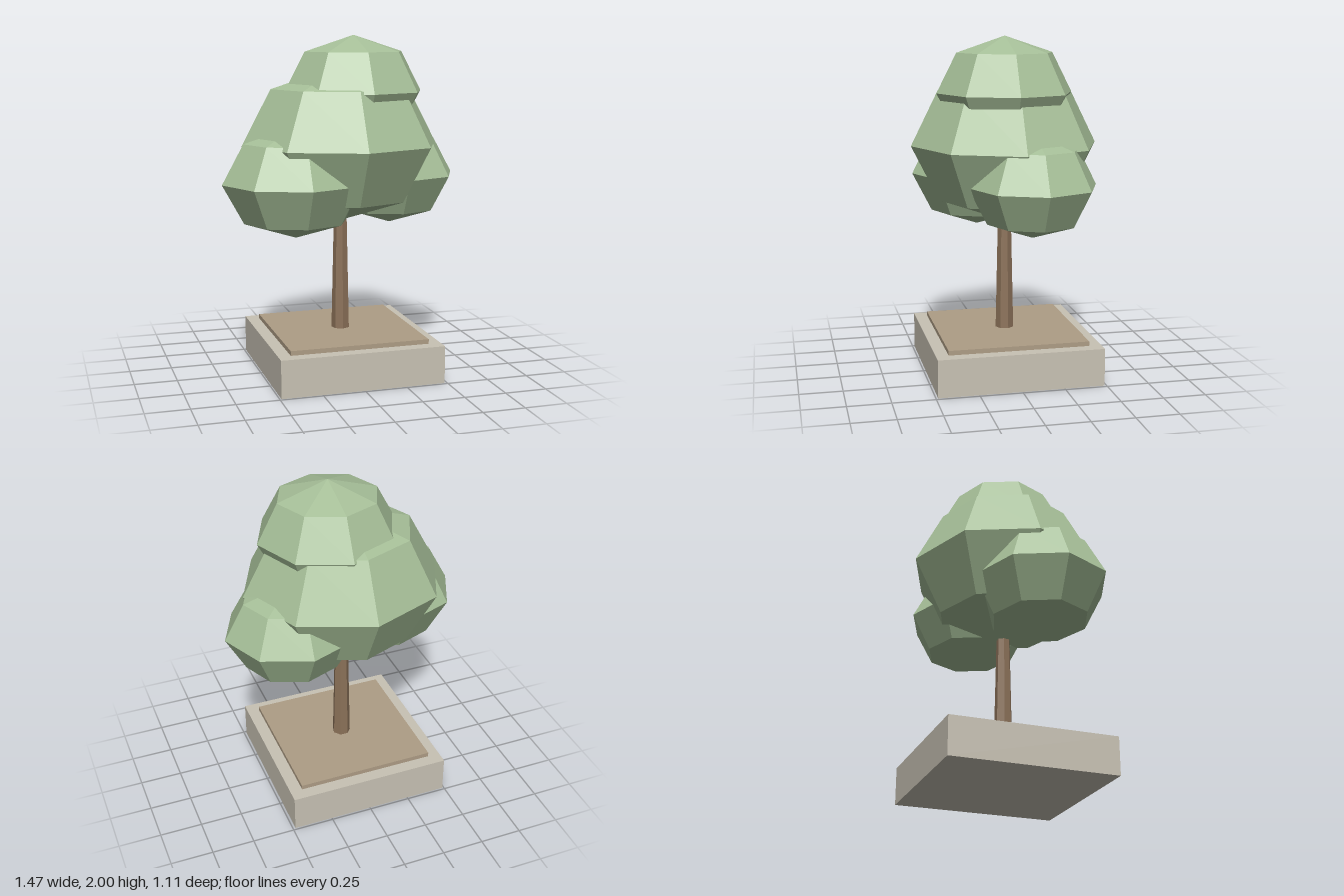
import * as THREE from 'three';

const mat = (name, color) => {
  const m = new THREE.MeshStandardMaterial({ color, flatShading: true });
  m.name = name;
  return m;
};

export function createModel() {
  const group = new THREE.Group();
  group.name = 'tree';
  const stone = mat('stone', 0xc8c2b4);
  const soil = mat('soil', 0xae9d85);
  const bark = mat('bark', 0x8c7259);
  const leaf = mat('leaf', 0xa6bf98);

  const add = (name, geometry, material, x, y, z) => {
    const mesh = new THREE.Mesh(geometry, material);
    mesh.name = name;
    mesh.position.set(x, y, z);
    group.add(mesh);
  };

  // Square planter with a thin bed of soil
  add('planter', new THREE.BoxGeometry(0.975, 0.222, 0.975), stone, -0.003, 0.111, 0);
  add('soilBed', new THREE.BoxGeometry(0.828, 0.028, 0.828), soil, -0.003, 0.235, 0);

  // Seven-sided tapering trunk, ending inside the crown
  add('trunk', new THREE.CylinderGeometry(0.034, 0.055, 0.96, 7), bark, -0.003, 0.72, 0);

  // Crown of faceted ellipsoids: name, centre, radii
  const clumps = [
    ['mainFoliage', [-0.003, 1.366, 0], [0.595, 0.46, 0.556]],
    ['topFoliage', [0.072, 1.675, 0.015], [0.418, 0.325, 0.4]],
    ['rightFoliage', [-0.306, 1.16, 0.11], [0.43, 0.325, 0.4]],
    ['leftFoliage', [0.335, 1.164, -0.09], [0.4, 0.3, 0.373]],
  ];
  for (const [name, centre, radii] of clumps) {
    add(name, new THREE.SphereGeometry(1, 8, 4).scale(...radii), leaf, ...centre);
  }
  return group;
}
